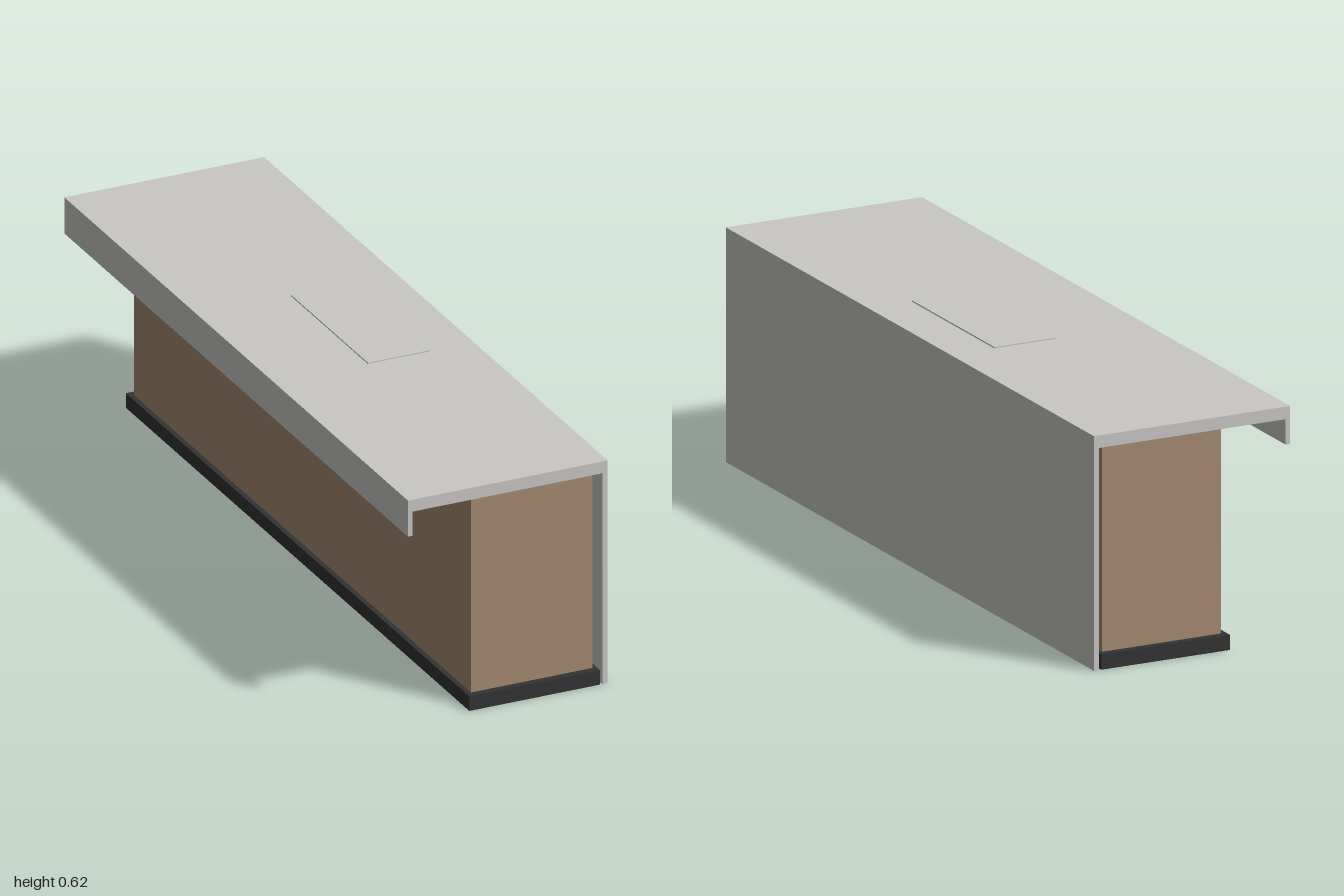
import * as THREE from 'three';

export function createModel() {
  const group = new THREE.Group();
  const mat = (name, color) => {
    const m = new THREE.MeshStandardMaterial({ color });
    m.name = name;
    return m;
  };
  const stone = mat('pale grey stone', 0xc9c8c6);
  const wood = mat('brown wood', 0xa68b72);
  const dark = mat('dark plinth', 0x333333);

  // Box given by its limits in x and y and its half length in z
  const box = (name, material, x0, x1, y0, y1, halfZ) => {
    const mesh = new THREE.Mesh(new THREE.BoxGeometry(x1 - x0, y1 - y0, 2 * halfZ), material);
    mesh.position.set((x0 + x1) / 2, (y0 + y1) / 2, 0);
    mesh.name = name;
    group.add(mesh);
  };

  // Countertop, front panel and drop edge as one folded profile
  const profile = new THREE.Shape([
    [0.278, 0], [0.278, 0.617], [-0.278, 0.617], [-0.278, 0.517],
    [-0.265, 0.517], [-0.265, 0.584], [0.263, 0.584], [0.263, 0],
  ].map(([x, y]) => new THREE.Vector2(x, y)));
  const shellGeometry = new THREE.ExtrudeGeometry(profile, { depth: 2, bevelEnabled: false });
  shellGeometry.translate(0, 0, -1);
  const shell = new THREE.Mesh(shellGeometry, stone);
  shell.name = 'counterShell';
  group.add(shell);

  // Thin raised plate on the countertop
  box('topPlate', stone, -0.018, 0.155, 0.617, 0.6205, 0.223);

  // Cabinet, with a recessed spacer carrying the front panel
  box('cabinet', wood, -0.093, 0.245, 0.04, 0.584, 0.98);
  box('panelSpacer', wood, 0.245, 0.263, 0.055, 0.57, 0.93);

  // Plinth under the cabinet
  box('plinth', dark, -0.107, 0.257, 0, 0.04, 1);

  return group;
}
